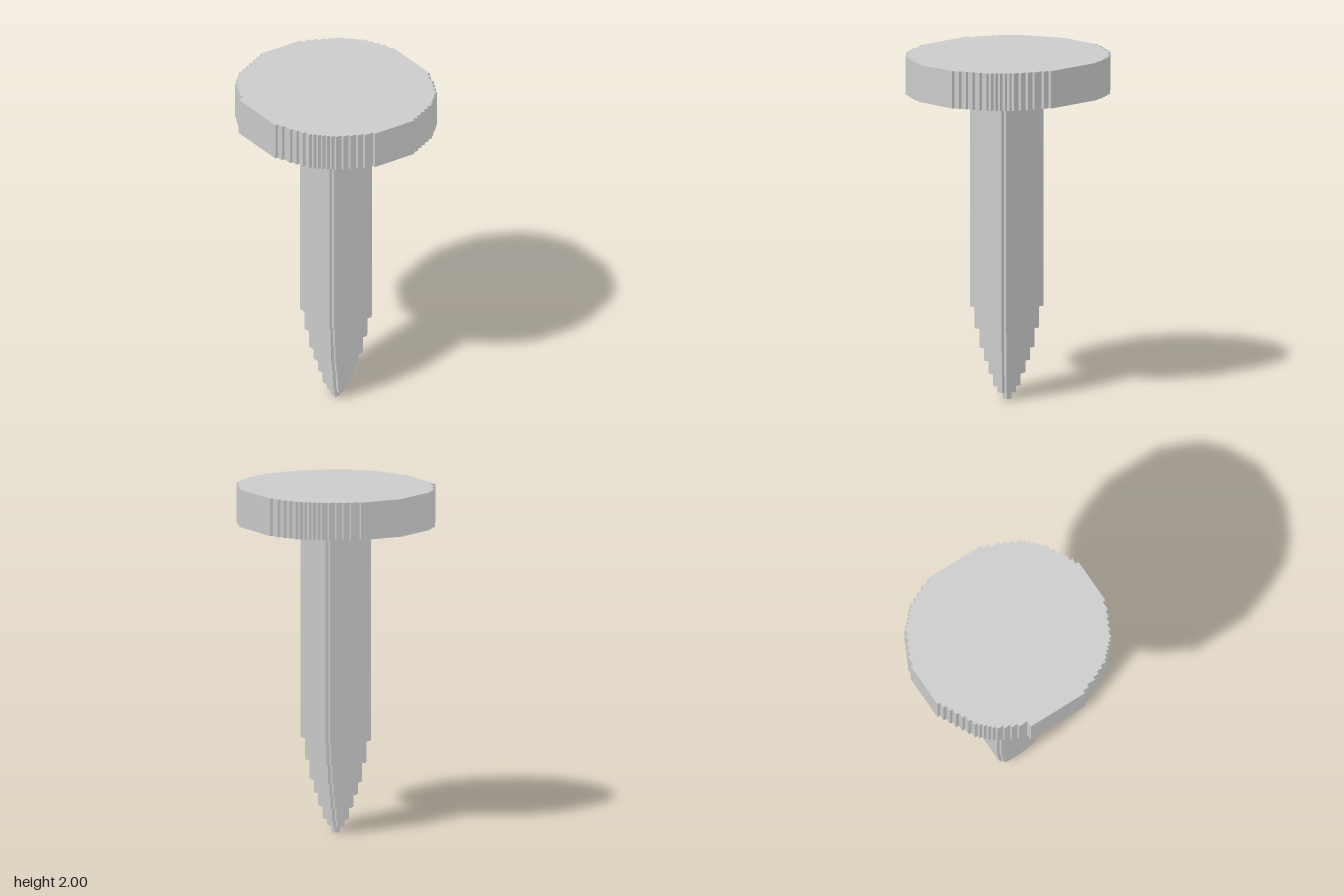
import * as THREE from 'three';

const U = 0.0185; // one step of the blocky grid

// Extrudes an outline (x, -z in grid steps) upward from y0 to y1.
function slab(name, points, y0, y1, material) {
  const shape = new THREE.Shape(points.map(([x, y]) => new THREE.Vector2(x * U, y * U)));
  const geometry = new THREE.ExtrudeGeometry(shape, { depth: y1 - y0, bevelEnabled: false });
  geometry.rotateX(-Math.PI / 2);
  const mesh = new THREE.Mesh(geometry, material);
  mesh.name = name;
  mesh.position.y = y0;
  return mesh;
}

// Rectangle of half sizes a by b with square notches n cut from its corners.
function notched(a, b, n) {
  if (n === 0) return [[a, -b], [a, b], [-a, b], [-a, -b]];
  const right = [[a - n, -b], [a - n, -b + n], [a, -b + n], [a, b - n], [a - n, b - n], [a - n, b]];
  return [...right, ...right.map(([x, y]) => [-x, y]).reverse()];
}

// Staircase quarter: each half width holds until its depth limit.
function stairs(widths, limits, sx, sy) {
  const points = [];
  widths.forEach((w, i) => {
    if (i > 0) points.push([sx * w, sy * limits[i - 1]]);
    points.push([sx * w, sy * limits[i]]);
  });
  return points;
}

export function createModel() {
  const group = new THREE.Group();
  group.name = 'nail';
  const material = new THREE.MeshStandardMaterial({ color: 0xcccccc, flatShading: true });

  // Wide disc head with a stepped rim
  const backZ = [11, 14, 16, 18, 20, 21, 22, 23, 24, 25, 26, 27, 28, 29, 30, 31];
  const frontZ = [9, 11, 14, 16, 18, 20, 21, 22, 23, 24, 25, 26, 27, 28, 29, 30, 31];
  const backRight = [29, 28, 27, 26, 25, 24, 23, 22, 21, 20, 19, 17, 15, 13, 11, 8];
  const backLeft = [29, 27, 26, 25, 24, 23, 22, 21, 20, 19, 17, 15, 13, 11, 9, 7];
  const frontRight = [29, 28, 27, 26, 25, 24, 23, 22, 21, 20, 19, 18, 16, 14, 12, 10, 8];
  const frontLeft = [29, 28, 27, 26, 25, 24, 23, 22, 21, 20, 19, 18, 16, 14, 12, 10, 7];
  const rim = [
    ...stairs(backRight, backZ, 1, 1),
    ...stairs(backLeft, backZ, -1, 1).reverse(),
    ...stairs(frontLeft, frontZ, -1, -1),
    ...stairs(frontRight, frontZ, 1, -1).reverse(),
  ];
  group.add(slab('head', rim, 1.783, 2, material));

  // Thin collar under the head, then the straight shaft
  group.add(slab('collar', notched(9, 10, 2), 1.763, 1.783, material));
  group.add(slab('shaft', notched(8, 9, 1), 0.54, 1.763, material));

  // Stepped point: half width, half depth, notch, bottom, top
  const tiers = [
    [7, 8, 1, 0.413, 0.54],
    [6, 7, 1, 0.3, 0.413],
    [5, 6, 1, 0.225, 0.3],
    [4, 5, 1, 0.15, 0.225],
    [3, 4, 1, 0.077, 0.15],
    [2, 3, 1, 0.04, 0.077],
    [1, 1, 0, 0, 0.04],
  ];
  tiers.forEach(([a, b, n, y0, y1], i) => {
    group.add(slab(`pointTier${i + 1}`, notched(a, b, n), y0, y1, material));
  });
  return group;
}
